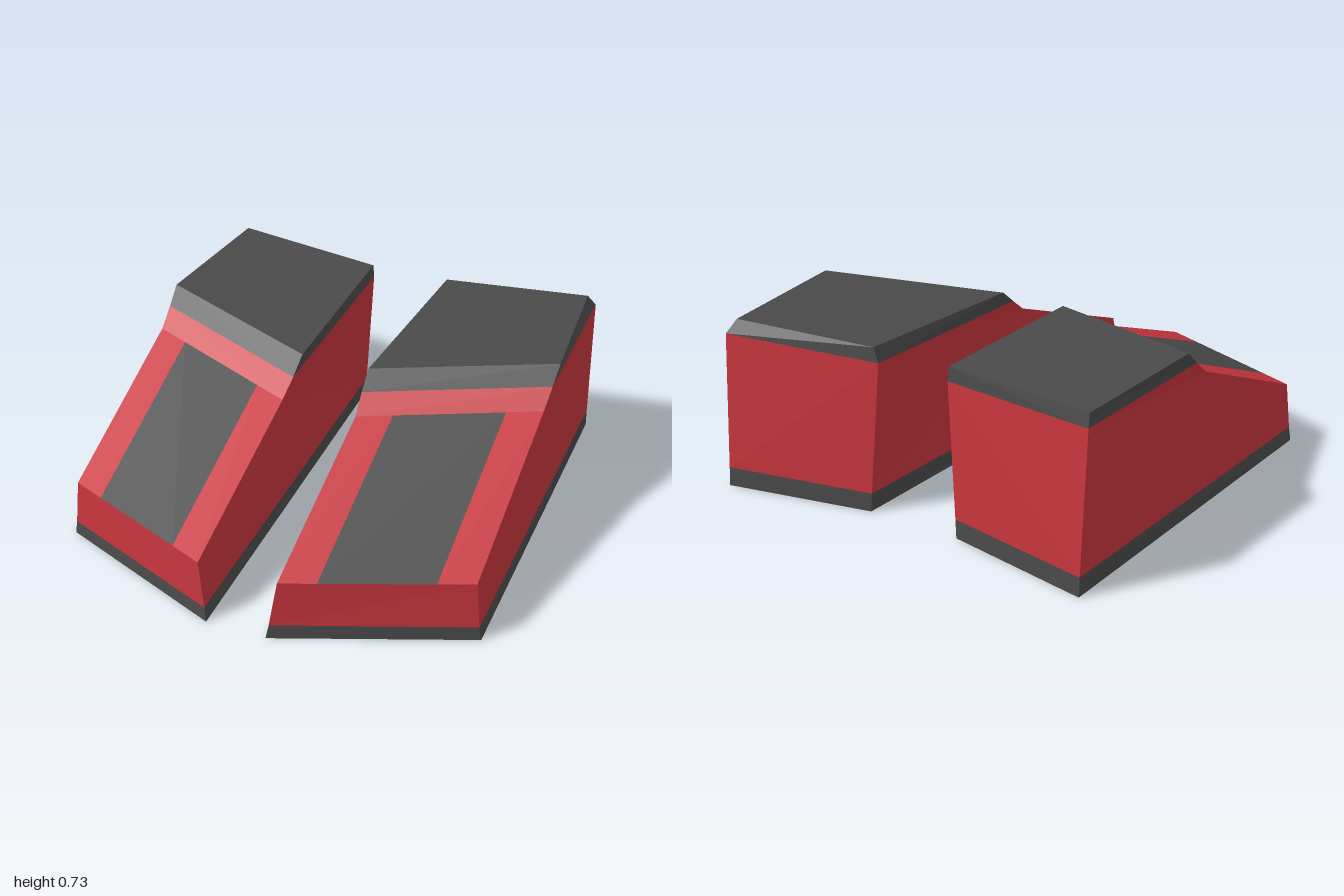
import * as THREE from 'three';

const red = new THREE.MeshStandardMaterial({ color: 0xc8363e, flatShading: true });
const grey = new THREE.MeshStandardMaterial({ color: 0x4a4a4a, flatShading: true });

// Turns outward-wound polygons into a mesh; side = -1 mirrors it across x
function panelMesh(name, material, polygons, side) {
  const positions = [];
  for (const polygon of polygons) {
    const pts = polygon.map(([x, y, z]) => [x * side, y, z]);
    for (let i = 1; i < pts.length - 1; i++) {
      const [b, c] = side > 0 ? [pts[i], pts[i + 1]] : [pts[i + 1], pts[i]];
      positions.push(...pts[0], ...b, ...c);
    }
  }
  const geometry = new THREE.BufferGeometry();
  geometry.setAttribute('position', new THREE.Float32BufferAttribute(positions, 3));
  geometry.computeVertexNormals();
  const mesh = new THREE.Mesh(geometry, material);
  mesh.name = name;
  return mesh;
}

// Four quads joining a lower ring of corners to an upper one
const walls = (lower, upper) => lower.map((p, i) => {
  const j = (i + 1) % 4;
  return [p, lower[j], upper[j], upper[i]];
});

const mix = (a, b, t) => a.map((v, i) => v + (b[i] - v) * t);

function createShoe(name, side, inset) {
  const shoe = new THREE.Group();
  shoe.name = name;

  // Rings run: front inner, front outer, back outer, back inner
  const base = [[0.13, 0, 1], [0.91, 0, 0.68], [0.85, 0, -1], [0.21, 0, -0.87]];
  const soleTop = [[0.14, 0.06, 0.99], [0.9, 0.06, 0.68], [0.85, 0.08, -0.995], [0.205, 0.08, -0.867]];
  const collar = [[0.155, 0.62, 0.085], [0.885, 0.66, -0.2], [0.855, 0.66, -0.955], [0.165, 0.645, -0.845]];
  const crown = [[0.15, 0.685, 0], [0.89, 0.727, -0.28],
    [0.853 - inset, 0.717, -0.945 + inset], [0.168 + inset * 0.8, 0.705, -0.84]];

  // Inner and outer ends of the toe edge and of the instep crease
  const toe = [[0.17, 0.26, 0.97], [0.88, 0.26, 0.675]];
  const crease = [[0.165, 0.555, 0.175], [0.88, 0.592, -0.11]];

  // Strip of the sloping vamp between two fractions of its width
  const vampStrip = (a, b) => [
    mix(toe[0], toe[1], a), mix(toe[0], toe[1], b),
    mix(crease[0], crease[1], b), mix(crease[0], crease[1], a),
  ];

  shoe.add(
    panelMesh('sole', grey, [[...base].reverse(), ...walls(base, soleTop)], side),
    panelMesh('upper', red, [
      [soleTop[0], soleTop[1], toe[1], toe[0]],
      [soleTop[2], soleTop[3], collar[3], collar[2]],
      [crease[1], toe[1], soleTop[1], soleTop[2], collar[2], collar[1]],
      [crease[0], collar[0], collar[3], soleTop[3], soleTop[0], toe[0]],
      [crease[0], crease[1], collar[1], collar[0]],
      vampStrip(0, 0.2),
      vampStrip(0.8, 1),
    ], side),
    panelMesh('vampPanel', grey, [vampStrip(0.2, 0.8)], side),
    panelMesh('cap', grey, [crown, ...walls(collar, crown)], side),
  );
  return shoe;
}

export function createModel() {
  const model = new THREE.Group();
  model.name = 'pairOfShoes';
  model.add(createShoe('leftShoe', 1, 0.028), createShoe('rightShoe', -1, 0));
  return model;
}
